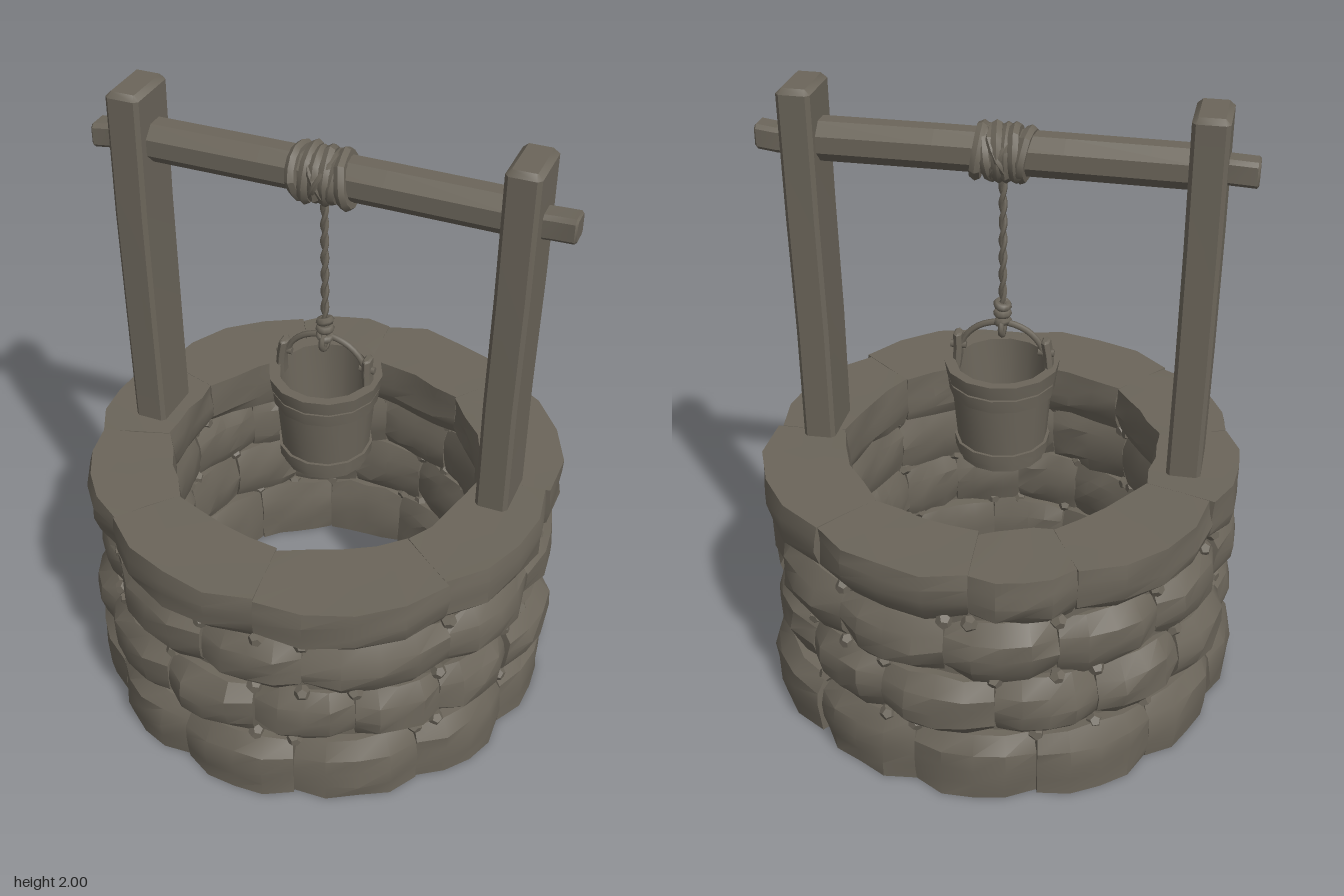
import * as THREE from 'three';
import { toCreasedNormals } from 'three/addons/utils/BufferGeometryUtils.js';

const weathered = new THREE.MeshStandardMaterial({ color: 0x6b655a });
weathered.name = 'weathered stone and wood';

// repeatable noise in -1..1 from a position
function noise(a, b, c, seed) {
  const s = Math.sin(a * 12.99 + b * 78.23 + c * 37.72 + seed * 4.137) * 43758.5453;
  return (s - Math.floor(s)) * 2 - 1;
}

// move every vertex by a rule; coincident vertices stay together
function reshape(geo, rule) {
  const p = geo.attributes.position;
  const v = new THREE.Vector3();
  for (let i = 0; i < p.count; i++) {
    v.fromBufferAttribute(p, i);
    for (const k of ['x', 'y', 'z']) v[k] = Math.round(v[k] * 1e4) / 1e4 + 0;
    rule(v);
    p.setXYZ(i, v.x, v.y, v.z);
  }
  return toCreasedNormals(geo, 0.55);
}

function add(parent, name, geo, x = 0, y = 0, z = 0) {
  const mesh = new THREE.Mesh(geo, weathered);
  mesh.name = name;
  mesh.position.set(x, y, z);
  parent.add(mesh);
  return mesh;
}

// one rounded stone between two angles of the ring
function stone(a0, a1, row, seed) {
  const { y0, y1, rIn, rOut, flatTop, flatBottom } = row;
  const mid = (a0 + a1) / 2, half = (a1 - a0) / 2, h = (y1 - y0) / 2;
  const size = noise(seed, 1, 2, 3) * 0.012;
  return reshape(new THREE.BoxGeometry(2, 2, 2, 4, 4, 2), (v) => {
    const { x: u, y: t, z: w } = v;
    const flat = (flatTop && t > 0) || (flatBottom && t < 0);
    const tt = flat ? Math.abs(t) * 0.5 : Math.abs(t);
    const pinch = Math.min(1.25, Math.abs(u) ** 4 * 0.55 + tt ** 3 * 0.85);
    const n = noise(u, t, w, seed);
    let r = w > 0 ? rOut + size - 0.055 * pinch + n * 0.008
      : w < 0 ? rIn + 0.03 * pinch + n * 0.008 : (rIn + rOut) / 2;
    let y = t * h * (flat ? 1 : 1.02 - 0.13 * Math.abs(u) ** 4);
    if (!flat) y += noise(t, u, w, seed + 9) * 0.007;
    if (flatTop && t === 1) y += noise(u, 3, w, seed) * 0.003;
    const a = mid + u * half * (1.0 - 0.03 * tt ** 4);
    v.set(Math.sin(a) * r, (y0 + y1) / 2 + y, Math.cos(a) * r);
  });
}

// squared timber with worn, chamfered edges
function timber(w, h, d, bevel, seed) {
  const s = new THREE.Shape();
  const a = w / 2, b = d / 2, c = 0.012;
  [[-a + c, -b], [a - c, -b], [a, -b + c], [a, b - c], [a - c, b], [-a + c, b], [-a, b - c], [-a, -b + c]]
    .forEach(([x, y], i) => (i ? s.lineTo(x, y) : s.moveTo(x, y)));
  const geo = new THREE.ExtrudeGeometry(s, {
    depth: h - bevel * 2, steps: 3, bevelEnabled: true,
    bevelSize: bevel, bevelOffset: -bevel, bevelThickness: bevel, bevelSegments: 1,
  });
  geo.translate(0, 0, bevel).rotateX(-Math.PI / 2);
  return reshape(geo, (v) => {
    const k = Math.round(v.y * 3 / h);
    v.x += noise(k, 1, 0, seed) * 0.004;
    v.z += noise(k, 2, 0, seed) * 0.004;
  });
}

// lumpy rope coil around the x axis
function coil(radius, tube, seed) {
  const geo = new THREE.TorusGeometry(radius, tube, 6, 14);
  geo.rotateY(Math.PI / 2);
  return reshape(geo, (v) => {
    const n = 1 + noise(Math.round(Math.atan2(v.y, v.z) * 3) % 9, 1, 0, seed) * 0.05;
    v.y *= n;
    v.z *= n;
  });
}

export function createModel() {
  const well = new THREE.Group();
  well.name = 'well';

  // stone ring: joint angles in degrees for each course, measured from the front
  const rows = [
    { y0: 0, y1: 0.225, rIn: 0.5, rOut: 0.775, flatBottom: true,
      joints: [15, 46, 75, 105, 140, 170, 200, 230, 258, 288, 318, 346] },
    { y0: 0.225, y1: 0.44, rIn: 0.51, rOut: 0.77,
      joints: [5, 30, 52, 75, 103, 137, 162, 190, 215, 240, 265, 290, 314, 341] },
    { y0: 0.44, y1: 0.65, rIn: 0.51, rOut: 0.76,
      joints: [17, 54, 84, 119, 150, 178, 205, 232, 260, 290, 318, 351] },
    { y0: 0.65, y1: 0.83, rIn: 0.495, rOut: 0.77, flatTop: true,
      joints: [6, 52, 95, 143, 184, 209, 253, 286, 321] },
  ];
  const wall = new THREE.Group();
  wall.name = 'stoneWall';
  well.add(wall);
  const rad = THREE.MathUtils.degToRad;
  rows.forEach((row, r) => row.joints.forEach((a, i) => {
    const next = row.joints[i + 1] ?? row.joints[0] + 360;
    add(wall, 'stone', stone(rad(a), rad(next), row, r * 20 + i + 1));
    // pebbles wedged into the joints
    for (const [y, keep] of [[row.y1, r < 3], [row.y0, r > 0 && i % 2 === 0]]) {
      if (!keep) continue;
      for (const R of [0.715, 0.55]) {
        const p = add(wall, 'pebble', new THREE.DodecahedronGeometry(0.026),
          Math.sin(rad(a)) * R, y, Math.cos(rad(a)) * R);
        p.rotation.set(i, r, i * 2);
      }
    }
  }));

  // mortar core closing the gaps between stones
  const core = [[0.56, 0.004], [0.7, 0.004], [0.7, 0.815], [0.56, 0.815], [0.56, 0.004]];
  add(wall, 'mortarCore', toCreasedNormals(
    new THREE.LatheGeometry(core.map(([x, y]) => new THREE.Vector2(x, y)), 36), 0.5));

  // posts and crossbeam
  add(well, 'rightPost', timber(0.108, 1.19, 0.19, 0.016, 1), -0.6, 0.81, -0.004);
  add(well, 'leftPost', timber(0.104, 1.19, 0.19, 0.016, 5), 0.593, 0.81, -0.004);
  const beam = new THREE.CylinderGeometry(0.067, 0.067, 1.16, 8, 3);
  beam.rotateY(Math.PI / 8).rotateZ(Math.PI / 2);
  add(well, 'crossbeam', reshape(beam, (v) => {
    v.y += noise(Math.round(v.x * 3), 4, 0, 2) * 0.004;
  }), 0, 1.828, -0.008);
  for (const s of [-1, 1]) {
    const peg = add(well, 'beamPeg', timber(0.078, 0.2, 0.078, 0.006, 3), s * 0.545, 1.822, -0.002);
    peg.rotation.z = -s * Math.PI / 2;
  }

  // rope wound around the beam
  const wrap = new THREE.Group();
  wrap.name = 'ropeWrap';
  wrap.position.set(-0.004, 1.825, -0.006);
  well.add(wrap);
  for (let i = 0; i < 6; i++) {
    const c = add(wrap, 'ropeCoil', coil(0.071 + (i % 2) * 0.004, 0.018, i + 1), -0.07 + i * 0.028);
    c.rotation.set(i, noise(i, 1, 2, 3) * 0.15, noise(i, 2, 1, 5) * 0.15);
  }
  for (const s of [-1, 1]) {
    const c = add(wrap, 'crossingCoil', coil(0.08, 0.011, s + 12));
    c.rotation.z = s * 0.5;
  }

  // two twisted strands hanging down to the knot
  for (const phase of [0, Math.PI]) {
    const pts = [];
    for (let i = 0; i <= 40; i++) {
      const a = i * 0.75 + phase;
      pts.push(new THREE.Vector3(Math.cos(a) * 0.006, 1.77 - i * 0.0137, Math.sin(a) * 0.006));
    }
    add(well, 'ropeStrand', new THREE.TubeGeometry(new THREE.CatmullRomCurve3(pts), 80, 0.008, 5), -0.003);
  }
  [1.325, 1.297, 1.268].forEach((y, i) => {
    const k = add(well, 'ropeKnot', new THREE.TorusGeometry(0.017, 0.013, 6, 10), -0.002, y, 0);
    k.rotation.set(Math.PI / 2 + 0.2 * (i - 1), 0.25 * (1 - i), 0);
  });
  add(well, 'handleLoop', new THREE.TorusGeometry(0.028, 0.01, 6, 10), -0.002, 1.25, 0).rotation.y = Math.PI / 2;

  // bucket
  const bucket = new THREE.Group();
  bucket.name = 'bucket';
  bucket.position.set(-0.002, 0, -0.006);
  well.add(bucket);
  const lathe = (pts) => toCreasedNormals(
    new THREE.LatheGeometry(pts.map(([x, y]) => new THREE.Vector2(x, y)), 14), 0.5);
  add(bucket, 'bucketBody', lathe([[0, 0.8], [0.138, 0.8], [0.166, 1.13], [0.146, 1.13], [0.122, 0.825], [0, 0.825]]));
  const hoop = (name, y0, y1, r0, r1) =>
    add(bucket, name, lathe([[r0 - 0.016, y0], [r0, y0], [r1, y1], [r1 - 0.016, y1]]));
  hoop('rimHoop', 1.085, 1.132, 0.174, 0.181);
  hoop('upperHoop', 1.035, 1.078, 0.167, 0.172);
  hoop('lowerHoop', 0.825, 0.865, 0.15, 0.153);

  // ears and bail handle
  for (const s of [-1, 1]) {
    const ear = add(bucket, 'bucketEar', timber(0.026, 0.135, 0.056, 0.006, 7), s * 0.15, 1.085, 0);
    ear.rotation.z = s * 0.16 - s * 0.08;
    const pin = add(bucket, 'handlePin', new THREE.CylinderGeometry(0.012, 0.012, 0.05, 6), s * 0.14, 1.175, 0);
    pin.rotation.z = Math.PI / 2;
  }
  const bail = new THREE.CatmullRomCurve3([[-0.135, 1.165], [-0.115, 1.21], [-0.07, 1.25], [0, 1.268],
    [0.07, 1.25], [0.115, 1.21], [0.135, 1.165]].map(([x, y]) => new THREE.Vector3(x, y, 0)));
  add(bucket, 'bailHandle', new THREE.TubeGeometry(bail, 18, 0.01, 6));

  return well;
}
